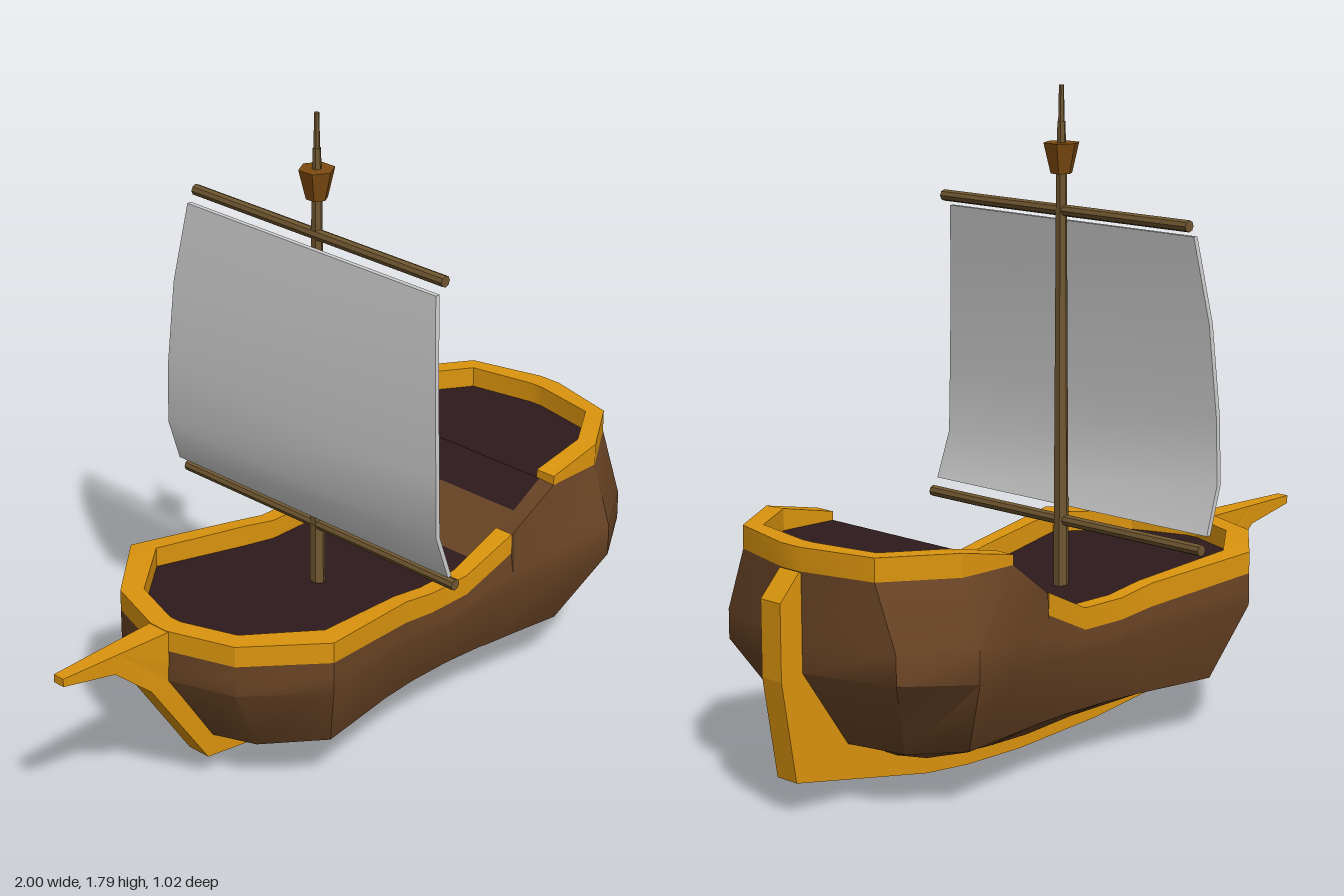
import * as THREE from 'three';
import { toCreasedNormals } from 'three/addons/utils/BufferGeometryUtils.js';

const paint = (color, side = THREE.FrontSide) => new THREE.MeshStandardMaterial({ color, side });
const MAST_X = -0.05;

// Surface through rows of [x, y, z] points; optionally closed around each row
function skin(rows, closed = false, crease = 0.5) {
  const n = rows[0].length, index = [];
  for (let i = 0; i < rows.length - 1; i++) {
    for (let j = 0; j < (closed ? n : n - 1); j++) {
      const k = (j + 1) % n;
      const a = i * n + j, b = i * n + k, c = (i + 1) * n + k, d = (i + 1) * n + j;
      index.push(a, b, c, a, c, d);
    }
  }
  const g = new THREE.BufferGeometry();
  g.setAttribute('position', new THREE.Float32BufferAttribute(rows.flat(2), 3));
  g.setIndex(index);
  return toCreasedNormals(g, crease);
}

const flip = ([x, y, z]) => [x, y, -z];
const bothSides = (ring) => [...ring, ...ring.map(flip).reverse()];
const centre = (pts) => [0, 1, 2].map((k) => pts.reduce((s, p) => s + p[k], 0) / pts.length);

// Half outlines of the hull, bow to stern, from the bottom up
const bottom = [[-0.5, 0.135, 0.02], [-0.45, 0.13, 0.04], [-0.32, 0.115, 0.07], [-0.1, 0.09, 0.09],
  [0.06, 0.078, 0.1], [0.2, 0.07, 0.11], [0.32, 0.07, 0.11], [0.34, 0.07, 0.11],
  [0.45, 0.075, 0.11], [0.56, 0.085, 0.1], [0.63, 0.1, 0.06], [0.66, 0.115, 0.02]];
const chine = [[-0.5, 0.14, 0.03], [-0.46, 0.147, 0.17], [-0.32, 0.16, 0.31], [-0.06, 0.16, 0.27],
  [0.06, 0.16, 0.26], [0.2, 0.16, 0.26], [0.33, 0.16, 0.27], [0.35, 0.16, 0.275],
  [0.47, 0.16, 0.29], [0.61, 0.16, 0.31], [0.74, 0.16, 0.21], [0.78, 0.16, 0.03]];
const belly = [[-0.65, 0.37, 0.03], [-0.585, 0.37, 0.22], [-0.39, 0.37, 0.39], [-0.05, 0.35, 0.335],
  [0.06, 0.34, 0.33], [0.2, 0.34, 0.33], [0.36, 0.36, 0.36], [0.365, 0.36, 0.36],
  [0.51, 0.37, 0.392], [0.69, 0.38, 0.432], [0.87, 0.39, 0.32], [0.93, 0.38, 0.035]];
const shoulder = [[-0.65, 0.42, 0.03], [-0.585, 0.42, 0.22], [-0.39, 0.42, 0.39], [-0.05, 0.39, 0.335],
  [0.06, 0.37, 0.33], [0.2, 0.37, 0.33], [0.36, 0.42, 0.36], [0.365, 0.42, 0.36],
  [0.51, 0.45, 0.392], [0.69, 0.47, 0.432], [0.87, 0.47, 0.32], [0.93, 0.47, 0.035]];
const gunwale = [[-0.65, 0.46, 0.03], [-0.585, 0.46, 0.22], [-0.39, 0.46, 0.39], [-0.05, 0.42, 0.335],
  [0.06, 0.405, 0.33], [0.2, 0.405, 0.33], [0.36, 0.48, 0.352], [0.365, 0.54, 0.352],
  [0.51, 0.645, 0.372], [0.69, 0.645, 0.372], [0.875, 0.645, 0.25], [0.93, 0.645, 0.035]];
// Inner edge of the rails (x, z) and height of their top, at the same stations
const inner = [[-0.59, 0.02], [-0.535, 0.18], [-0.355, 0.325], [-0.05, 0.29], [0.06, 0.283], [0.2, 0.283],
  [0.36, 0.295], [0.365, 0.295], [0.51, 0.31], [0.68, 0.315], [0.835, 0.215], [0.872, 0.02]];
const railTop = [0.52, 0.52, 0.52, 0.485, 0.465, 0.465, 0.54, 0.54, 0.672, 0.708, 0.708, 0.708];

// Rail cross-section at one station
function railSection(i, side) {
  const [x, y, z] = gunwale[i], [ix, iz] = inner[i], t = railTop[i];
  return [[x, y, side * z], [ix, y, side * iz], [ix, t, side * iz], [x, t, side * z]];
}
function railGeometry(path) {
  const rows = path.map(([i, side]) => railSection(i, side));
  const cap = (row) => row.map(() => centre(row));
  return skin([cap(rows[0]), ...rows, cap(rows.at(-1))], true, 0.3);
}
const across = (pts) => pts.map((p) => [flip(p), p]);

export function createModel() {
  const ship = new THREE.Group();
  const wood = paint(0x6b4526, THREE.DoubleSide);
  const gold = paint(0xdc950e);
  const dark = paint(0x2e1a1d, THREE.DoubleSide);
  const spar = paint(0x6f5630);

  const add = (name, geometry, material, parent = ship) => {
    const mesh = new THREE.Mesh(geometry, material);
    mesh.name = name;
    parent.add(mesh);
    return mesh;
  };

  // Hull shell and its bottom
  add('hull', skin([bottom, chine, belly, shoulder, gunwale].map(bothSides), true, 0.6), wood);
  add('hullBottom', skin(bottom.map((p) => [p, flip(p)])), wood);

  // Lower deck, sloping step and raised stern deck
  const deckAt = (i) => [inner[i][0], gunwale[i][1] + 0.003, inner[i][1] + 0.01];
  const stepFoot = [0.3, 0.452, 0.3], stepHead = [0.42, 0.575, 0.305];
  add('lowerDeck', skin(across([...[0, 1, 2, 3, 4, 5].map(deckAt), stepFoot])), dark);
  add('deckStep', skin(across([stepFoot, stepHead])), wood);
  add('sternDeck', skin(across([stepHead, ...[8, 9, 10, 11].map(deckAt)])), dark);
  // Planks closing the gap between step and hull side
  const sidePlank = [[stepFoot, gunwale[6]], [stepHead, gunwale[7]], [deckAt(8), gunwale[8]]];
  add('sidePlankLeft', skin(sidePlank), wood);
  add('sidePlankRight', skin(sidePlank.map((r) => r.map(flip).reverse())), wood);

  // Rails around bow and stern
  const bow = [0, 1, 2, 3, 4, 5, 6], stern = [8, 9, 10, 11];
  add('bowRail', railGeometry([...bow.map((i) => [i, -1]).reverse(), ...bow.map((i) => [i, 1])]), gold);
  add('sternRail', railGeometry([...stern.map((i) => [i, 1]), ...stern.map((i) => [i, -1]).reverse()]), gold);

  // Keel with bowsprit and rudder post, narrowing toward the bow tip
  const outline = [[-1, 0.518], [-1, 0.495], [-0.83, 0.463], [-0.71, 0.36], [-0.515, 0.075], [-0.15, 0.025],
    [0.15, 0.004], [0.35, 0.004], [0.5, 0.015], [0.7, 0.05], [0.955, 0.095], [1, 0.37], [1, 0.575],
    [0.935, 0.645], [0.9, 0.62], [0.9, 0.4], [0.75, 0.2], [-0.45, 0.2], [-0.6, 0.4], [-0.62, 0.518],
    [-0.82, 0.518]];
  const keel = new THREE.ExtrudeGeometry(new THREE.Shape(outline.map((p) => new THREE.Vector2(...p))),
    { depth: 2, bevelEnabled: false }).translate(0, 0, -1);
  const kp = keel.attributes.position;
  for (let i = 0; i < kp.count; i++) {
    const t = THREE.MathUtils.clamp((kp.getX(i) + 1) / 0.38, 0, 1);
    kp.setZ(i, kp.getZ(i) * THREE.MathUtils.lerp(0.018, 0.037, t));
  }
  keel.computeVertexNormals();
  add('keel', keel, gold);

  // Mast, lookout and topmast
  const rig = new THREE.Group();
  rig.name = 'rig';
  rig.position.x = MAST_X;
  ship.add(rig);
  const post = (name, y0, y1, r0, r1, material) => {
    const g = toCreasedNormals(new THREE.CylinderGeometry(r1, r0, y1 - y0, 6), 0.3);
    add(name, g, material, rig).position.y = (y0 + y1) / 2;
  };
  post('mast', 0.41, 1.57, 0.022, 0.015, spar);
  post('lookout', 1.56, 1.643, 0.03, 0.05, paint(0x7d4a10));
  post('lowerTopmast', 1.64, 1.7, 0.013, 0.011, spar);
  post('upperTopmast', 1.7, 1.797, 0.009, 0.007, spar);

  // Yards
  for (const [name, y, half] of [['upperYard', 1.46, 0.457], ['lowerYard', 0.605, 0.51]]) {
    const g = toCreasedNormals(new THREE.CylinderGeometry(0.016, 0.016, half * 2, 8), 0.3);
    const yard = add(name, g, spar, rig);
    yard.rotation.x = Math.PI / 2;
    yard.position.set(-0.003, y, 0);
  }

  // Bellied sail: a thin slab following x, y and half-width, front then back
  const profile = [[-0.078, 0.64, 0.512], [-0.122, 0.77, 0.508], [-0.122, 0.95, 0.503],
    [-0.11, 1.2, 0.485], [-0.08, 1.43, 0.455]];
  const slab = profile.map(([x, y, z]) => [
    [x + 0.007, y, z], [x + 0.007, y, -z], [x - 0.007, y, -z], [x - 0.007, y, z]]);
  const lid = (row) => row.map(() => centre(row));
  add('sail', skin([lid(slab[0]), ...slab, lid(slab.at(-1))], true, 0.5),
    paint(0xcccccc, THREE.DoubleSide));

  return ship;
}
